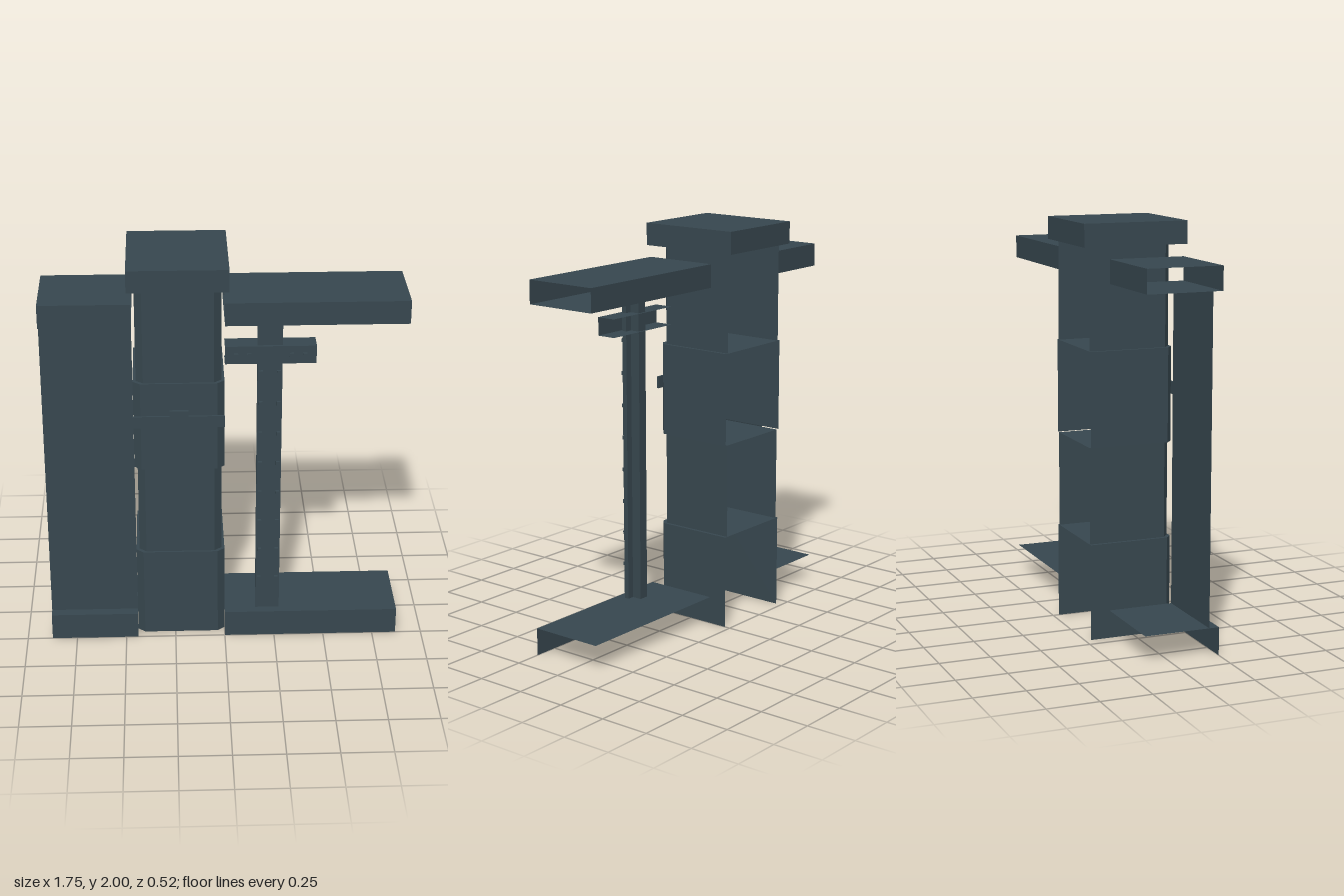
import * as THREE from 'three';

const slate = new THREE.MeshStandardMaterial({ color: 0x37474f, side: THREE.DoubleSide });
slate.name = 'slate metal';

// Folded sheet: sweeps a 2D polyline from a to b; place(u, v, t) gives [x, y, z]
function sheet(name, profile, a, b, place) {
  const pos = [];
  for (let i = 0; i < profile.length - 1; i++) {
    const [p, q] = [profile[i], profile[i + 1]];
    const A = place(...p, a), B = place(...q, a), C = place(...q, b), D = place(...p, b);
    pos.push(...A, ...B, ...C, ...A, ...C, ...D);
  }
  const geo = new THREE.BufferGeometry();
  geo.setAttribute('position', new THREE.Float32BufferAttribute(pos, 3));
  geo.computeVertexNormals();
  const mesh = new THREE.Mesh(geo, slate);
  mesh.name = name;
  return mesh;
}
const alongX = (z, y, x) => [x, y, z];
const alongY = (x, z, y) => [x, y, z];

// Box given by its limits
function box(name, x0, x1, y0, y1, z0, z1) {
  const mesh = new THREE.Mesh(new THREE.BoxGeometry(x1 - x0, y1 - y0, z1 - z0), slate);
  mesh.position.set((x0 + x1) / 2, (y0 + y1) / 2, (z0 + z1) / 2);
  mesh.name = name;
  return mesh;
}

// Column outline, open at the back, with chamfered front corners
const outline = (x0, x1, zf, c = 0.035, d = 0.03) => [
  [x0, -0.22], [x0, zf - d], [x0 + c, zf], [x1 - c, zf], [x1, zf - d], [x1, -0.22],
];

export function createModel() {
  const model = new THREE.Group();
  model.name = 'lockerFrame';
  const wide = outline(-0.44, 0, 0.205);
  const narrow = outline(-0.425, -0.015, 0.195);

  // Column sections, alternately wide and narrow
  const column = new THREE.Group();
  column.name = 'column';
  const levels = [0, 0.47, 0.94, 1.4, 1.89];
  for (let i = 0; i < 4; i++) {
    column.add(sheet('columnSection', i % 2 ? narrow : wide, levels[i], levels[i + 1], alongY));
  }
  // Shelves
  [[0.47, wide], [0.94, narrow], [1.4, wide]].forEach(([y, pts]) => {
    const shape = new THREE.Shape(pts.map(([x, z]) => new THREE.Vector2(x, -z)));
    const shelf = new THREE.Mesh(new THREE.ShapeGeometry(shape).rotateX(-Math.PI / 2), slate);
    shelf.position.y = y;
    shelf.name = 'shelf';
    column.add(shelf);
  });
  column.add(box('cap', -0.46, 0.02, 1.89, 2, -0.26, 0.26));

  // Strap and buckle
  column.add(box('strap', -0.445, 0, 1.17, 1.23, 0.205, 0.215));
  column.add(box('buckle', -0.265, -0.175, 1.13, 1.265, 0.215, 0.23));
  model.add(column);

  // Top beams (open-ended tubes) and bottom sills (angle sheets)
  const tube = [[0.25, 1.715], [0.25, 1.83], [-0.125, 1.83], [-0.125, 1.715], [0.25, 1.715]];
  const angle = [[0.25, 0], [0.25, 0.137], [-0.125, 0.137]];
  for (const [a, b] of [[-0.875, -0.44], [0, 0.87]]) {
    model.add(sheet('topBeam', tube, a, b, alongX));
    model.add(sheet('bottomSill', angle, a, b, alongX));
  }

  // Side panel
  model.add(sheet('sidePanel', [[-0.875, 0.2], [-0.44, 0.2]], 0.137, 1.715, alongY));

  // Post with flange, rib and two rows of bolts
  const post = new THREE.Group();
  post.name = 'post';
  post.add(box('postFlange', 0.155, 0.275, 0.137, 1.715, 0.18, 0.205));
  post.add(box('postRib', 0.19, 0.24, 0.137, 1.715, 0.13, 0.18));
  for (let i = 0; i < 8; i++) {
    const y = 0.315 + i * 0.163;
    for (const x of [0.172, 0.258]) {
      post.add(box('bolt', x - 0.009, x + 0.009, y - 0.009, y + 0.009, 0.205, 0.218));
    }
  }
  model.add(post);

  // Channel bracket with bolts
  const bracket = new THREE.Group();
  bracket.name = 'bracket';
  bracket.add(sheet('bracketChannel',
    [[0.12, 1.505], [0.218, 1.505], [0.218, 1.595], [0.12, 1.595]], 0, 0.435, alongX));
  for (const x of [0.053, 0.115, 0.317, 0.38]) {
    bracket.add(box('bolt', x - 0.01, x + 0.01, 1.54, 1.56, 0.218, 0.228));
  }
  model.add(bracket);
  return model;
}
